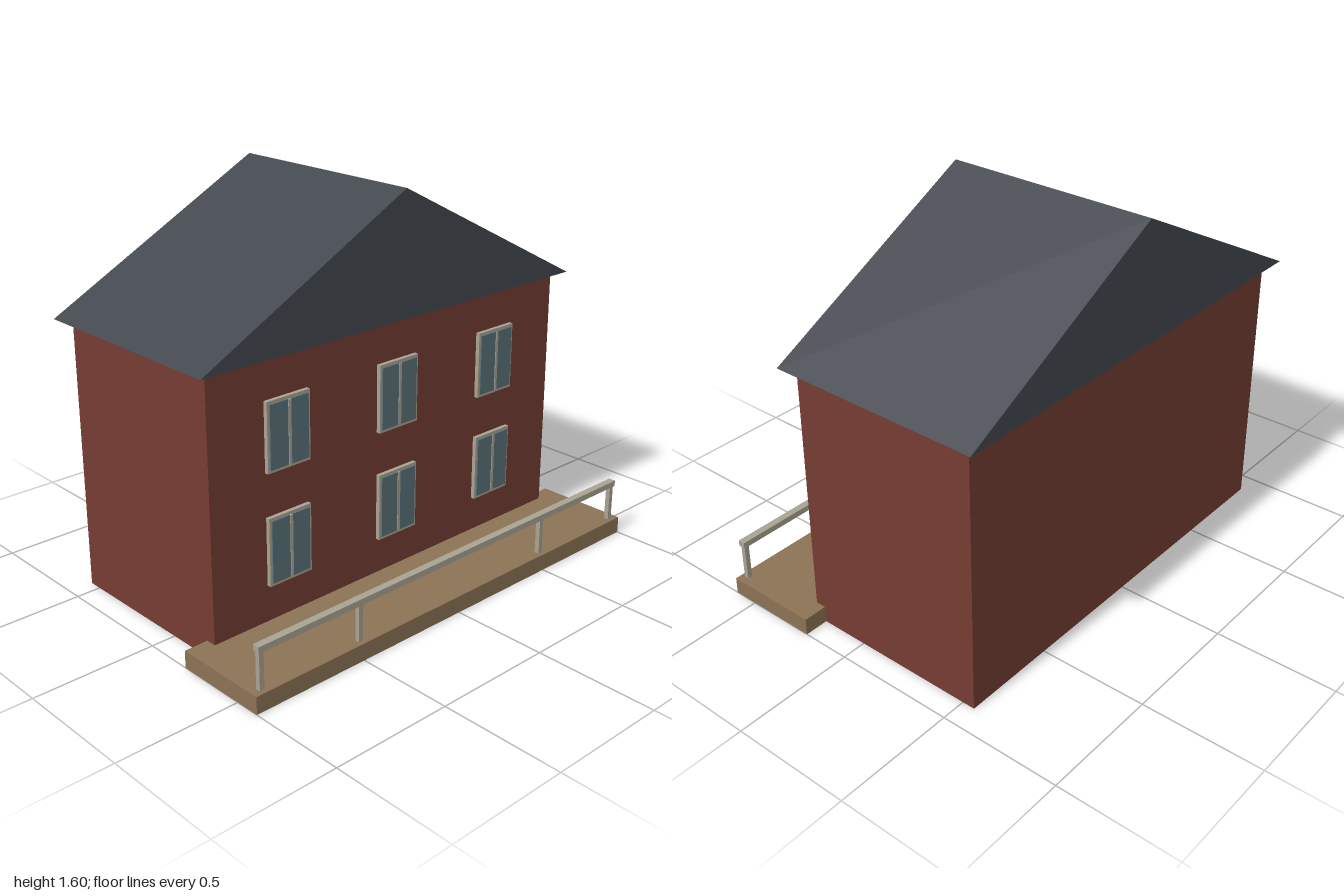
import * as THREE from 'three';

const mat = (color) => new THREE.MeshStandardMaterial({ color, flatShading: true });

export function createModel() {
  const house = new THREE.Group();
  house.name = 'house';

  const brick = mat(0x753d34);
  const slate = mat(0x43474e);
  const wood = mat(0x8b7355);
  const trim = mat(0xa9a393);
  const glass = mat(0x58727a);

  // Box given by its [min, max] range on each axis
  function box(name, [x0, x1], [y0, y1], [z0, z1], material, parent = house) {
    const mesh = new THREE.Mesh(new THREE.BoxGeometry(x1 - x0, y1 - y0, z1 - z0), material);
    mesh.position.set((x0 + x1) / 2, (y0 + y1) / 2, (z0 + z1) / 2);
    mesh.name = name;
    parent.add(mesh);
    return mesh;
  }

  // Main block, with a small panel set flush in its base
  box('walls', [-0.9, 0.9], [0.001, 1.105], [-0.553, 0.247], brick);
  box('basePanel', [-0.325, 0.325], [0, 0.02], [-0.385, 0.12], glass);

  // Gabled roof with a slight overhang
  const gable = new THREE.Shape([
    new THREE.Vector2(-0.95, 1.105),
    new THREE.Vector2(0.95, 1.105),
    new THREE.Vector2(0, 1.6),
  ]);
  const roof = new THREE.Mesh(
    new THREE.ExtrudeGeometry(gable, { depth: 0.895, bevelEnabled: false }), slate);
  roof.position.z = -0.603;
  roof.name = 'roof';
  house.add(roof);

  // Two rows of three windows: frame, pane and centre mullion
  for (const y of [0.354, 0.803]) {
    for (const x of [-0.55, 0, 0.55]) {
      const win = new THREE.Group();
      win.name = 'window';
      win.position.set(x, y, 0.247);
      box('windowFrame', [-0.1, 0.1], [-0.137, 0.137], [-0.01, 0.017], trim, win);
      box('windowPane', [-0.09, 0.09], [-0.125, 0.125], [0, 0.022], glass, win);
      box('windowMullion', [-0.006, 0.006], [-0.125, 0.125], [0.01, 0.025], trim, win);
      house.add(win);
    }
  }

  // Porch deck and railing
  box('porchDeck', [-1, 1], [0, 0.07], [0.203, 0.603], wood);
  box('handrail', [-0.975, 0.975], [0.22, 0.245], [0.56, 0.59], trim);
  for (const x of [-0.96, -0.5, 0.5, 0.96]) {
    box('railPost', [x - 0.01, x + 0.01], [0.065, 0.225], [0.565, 0.585], trim);
  }

  return house;
}
